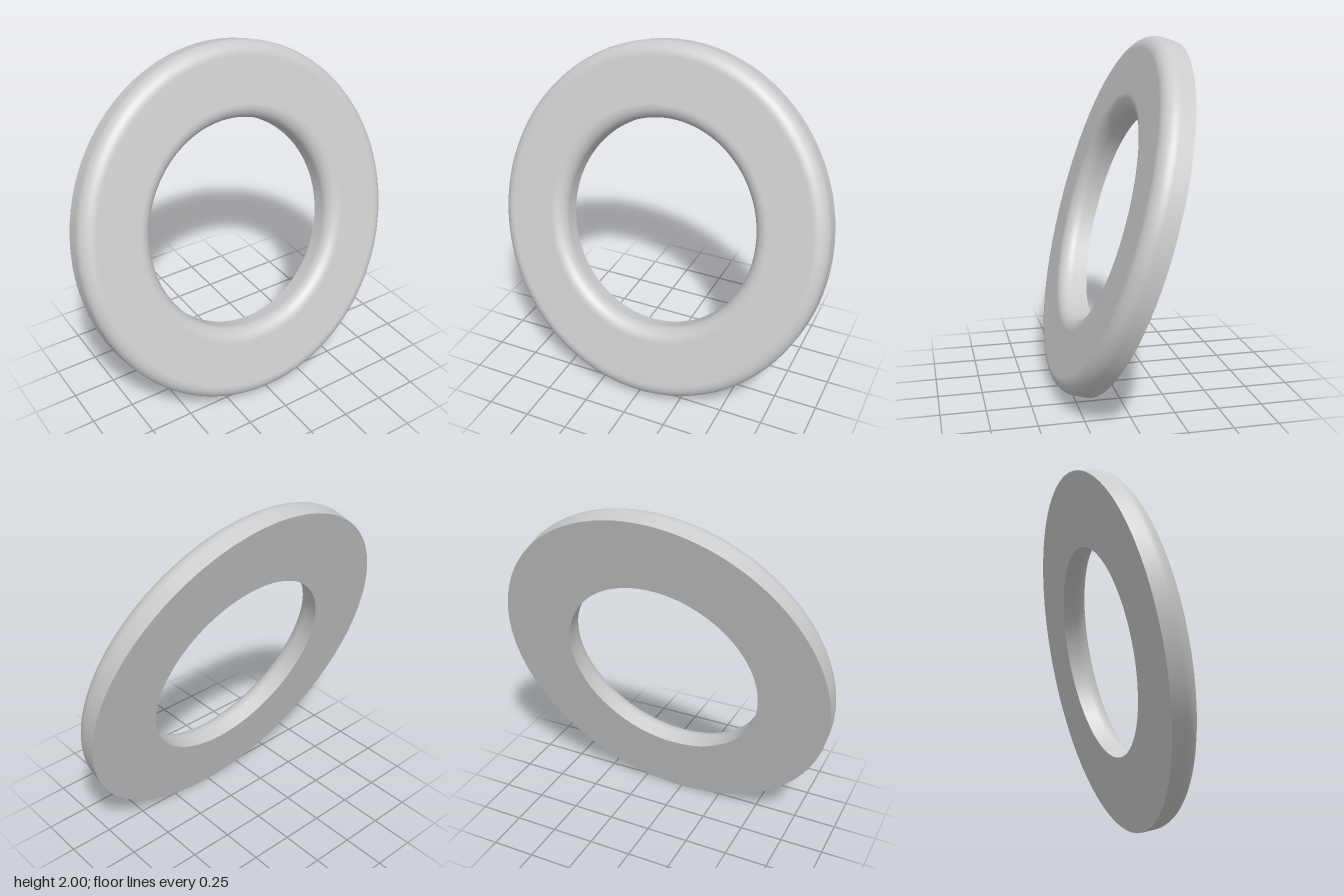
import * as THREE from 'three';

const OUTER = 0.985, INNER = 0.578; // radii across x
const DEPTH = 0.16, FILLET = 0.08;
const STRETCH = 1.044;              // slightly oval along the leaning axis
const LEAN = THREE.MathUtils.degToRad(16.35);
const SEGMENTS = 128;

// quarter-round edge, from angle a0 to a1
function fillet(cx, a0, a1, steps = 12) {
  const points = [];
  for (let i = 0; i <= steps; i++) {
    const a = a0 + (a1 - a0) * i / steps;
    points.push(new THREE.Vector2(cx + FILLET * Math.cos(a), DEPTH - FILLET + FILLET * Math.sin(a)));
  }
  return points;
}

function ovalLathe(points, name, material) {
  const mesh = new THREE.Mesh(new THREE.LatheGeometry(points, SEGMENTS), material);
  mesh.scale.z = STRETCH;
  mesh.name = name;
  return mesh;
}

export function createModel() {
  const material = new THREE.MeshStandardMaterial({ color: 0xcccccc });
  const model = new THREE.Group();
  model.name = 'leaningRing';

  // outer wall, rounded rim, front face, rounded hole edge, inner wall
  const profile = [
    new THREE.Vector2(OUTER, 0),
    ...fillet(OUTER - FILLET, 0, Math.PI / 2),
    ...fillet(INNER + FILLET, Math.PI / 2, Math.PI),
    new THREE.Vector2(INNER, 0),
  ];
  // flat back with sharp edges
  const back = [new THREE.Vector2(INNER, 0), new THREE.Vector2(OUTER, 0)];

  const ring = new THREE.Group();
  ring.name = 'ring';
  ring.add(ovalLathe(profile, 'roundedFront', material), ovalLathe(back, 'flatBack', material));
  ring.rotation.x = Math.PI / 2 - LEAN;
  ring.position.set(0, OUTER * STRETCH * Math.cos(LEAN), -0.067);
  model.add(ring);
  return model;
}
